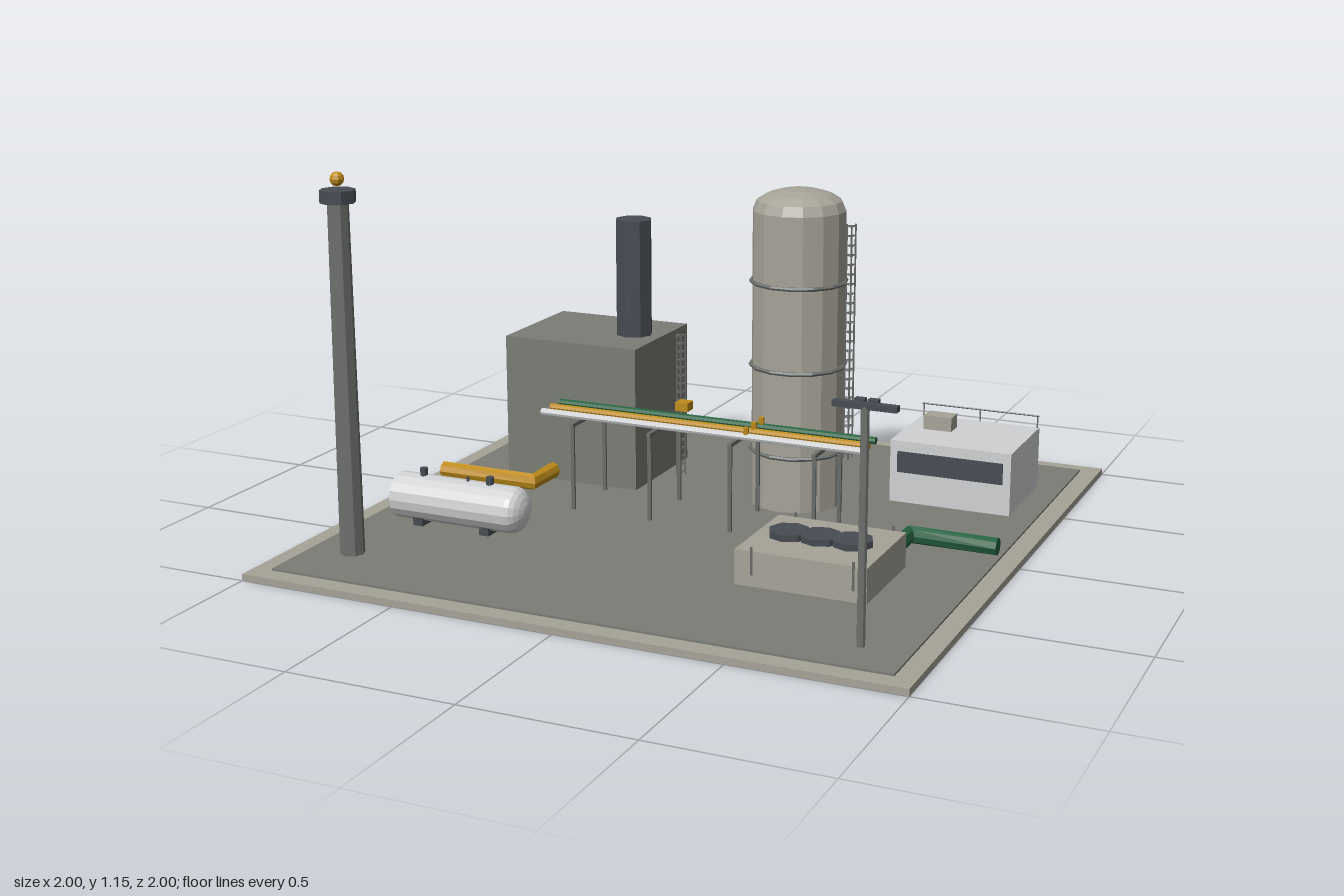
import * as THREE from 'three';

const mat = (name, color, side = THREE.FrontSide) => {
  const m = new THREE.MeshStandardMaterial({ color, flatShading: true, side });
  m.name = name;
  return m;
};

export function createModel() {
  const concrete = mat('concrete', 0xa6a398);
  const paving = mat('paving grey', 0x7a7c75);
  const dark = mat('dark steel', 0x474c53);
  const steel = mat('steel', 0x6e716d);
  const white = mat('white', 0xd0d1d2);
  const gold = mat('safety yellow', 0xbf8c1a);
  const green = mat('pipe green', 0x24613f);

  const root = new THREE.Group();
  root.name = 'processPlant';
  let target = root;
  const group = (name, build) => {
    target = new THREE.Group();
    target.name = name;
    root.add(target);
    build();
    target = root;
  };
  const add = (name, geo, material, x = 0, y = 0, z = 0) => {
    const m = new THREE.Mesh(geo, material);
    m.name = name;
    m.position.set(x, y, z);
    target.add(m);
    return m;
  };
  // Box given by its minimum and maximum on each axis
  const box = (name, material, x0, x1, y0, y1, z0, z1) =>
    add(name, new THREE.BoxGeometry(x1 - x0, y1 - y0, z1 - z0), material,
      (x0 + x1) / 2, (y0 + y1) / 2, (z0 + z1) / 2);
  // Upright cylinder between two heights
  const post = (name, material, x, z, r, y0, y1, sides = 8, rTop = r) =>
    add(name, new THREE.CylinderGeometry(rTop, r, y1 - y0, sides), material, x, (y0 + y1) / 2, z);
  // Straight rod between two points
  const rod = (name, material, a, b, r, sides = 6) => {
    const p = new THREE.Vector3(...a), q = new THREE.Vector3(...b);
    const m = add(name, new THREE.CylinderGeometry(r, r, p.distanceTo(q), sides), material);
    m.position.copy(p).add(q).multiplyScalar(0.5);
    m.quaternion.setFromUnitVectors(new THREE.Vector3(0, 1, 0), q.sub(p).normalize());
    return m;
  };

  // Bent ground pipe: three rings, the middle one in the mitre plane
  class Bend extends THREE.Curve {
    constructor(points) {
      super();
      this.points = points.map((p) => new THREE.Vector3(...p));
    }
    getPointAt(u) {
      return this.points[Math.round(u * 2)].clone();
    }
    getTangentAt(u) {
      const [a, b, c] = this.points;
      const first = b.clone().sub(a).normalize(), last = c.clone().sub(b).normalize();
      return u < 0.25 ? first : u > 0.75 ? last : first.add(last).normalize();
    }
  }
  const bentPipe = (name, material, points) => {
    add(name, new THREE.TubeGeometry(new Bend(points), 2, 0.027, 8), material);
    const end = points[0];
    const cap = add(name + 'End', new THREE.CircleGeometry(0.027, 8), material, ...end);
    cap.rotation.y = Math.sign(end[0]) * Math.PI / 2;
  };

  // Triangular ladder with rungs and stand-offs
  const ladder = (x, z, y0, y1, step) => {
    const rails = [[x, z], [x + 0.022, z - 0.018], [x + 0.022, z + 0.018]];
    rails.forEach(([rx, rz]) => post('ladderRail', steel, rx, rz, 0.003, y0, y1, 4));
    for (let y = y0 + 0.015; y < y1; y += step)
      rails.forEach(([rx, rz], i) => {
        const [nx, nz] = rails[(i + 1) % 3];
        rod('ladderRung', steel, [rx, y, rz], [nx, y, nz], 0.002, 4);
      });
  };

  group('ground', () => {
    box('slab', concrete, -1, 1, 0, 0.02, -1, 1);
    box('paving', paving, -0.94, 0.94, 0.018, 0.026, -0.94, 0.94);
  });

  group('furnace', () => {
    box('furnaceBlock', paving, -0.77, -0.305, 0.025, 0.49, -0.535, -0.14);
    post('stack', dark, -0.403, -0.338, 0.06, 0.49, 0.87);
    ladder(-0.255, -0.345, 0.025, 0.5, 0.027);
  });

  group('tower', () => {
    const profile = [[0, 0.025], [0.145, 0.025], [0.145, 0.955], [0.132, 0.985], [0.1, 1.005], [0.055, 1.018], [0, 1.022]];
    add('vessel', new THREE.LatheGeometry(profile.map(([r, y]) => new THREE.Vector2(r, y)), 14),
      concrete, 0.197, 0, -0.268);
    for (const y of [0.2, 0.47, 0.735]) {
      const ring = add('hoop', new THREE.TorusGeometry(0.147, 0.007, 6, 14), steel, 0.197, y, -0.268);
      ring.rotation.x = Math.PI / 2;
    }
    ladder(0.35, -0.274, 0.18, 0.92, 0.03);
  });

  group('flare', () => {
    post('flarePole', steel, -0.804, 0.73, 0.037, 0.025, 1.07, 8, 0.031);
    post('flareCollar', dark, -0.804, 0.73, 0.052, 1.065, 1.102);
    add('flareTip', new THREE.SphereGeometry(0.021, 8, 6), gold, -0.804, 1.132, 0.73);
  });

  // Lying storage tank with one domed end
  group('storageTank', () => {
    const pts = [new THREE.Vector2(0, 0), new THREE.Vector2(0.07, 0)];
    for (let i = 0; i <= 5; i++) {
      const a = i / 5 * Math.PI / 2;
      pts.push(new THREE.Vector2(0.07 * Math.cos(a), 0.39 + 0.045 * Math.sin(a)));
    }
    const shell = add('tankShell', new THREE.LatheGeometry(pts, 16), white, -0.8, 0.13, 0.465);
    shell.rotation.z = -Math.PI / 2;
    for (const x of [-0.717, -0.49]) {
      post('nozzle', dark, x, 0.465, 0.012, 0.19, 0.222);
      box('saddle', dark, x - 0.016, x + 0.016, 0.052, 0.078, 0.42, 0.51);
    }
    post('vent', dark, -0.565, 0.465, 0.005, 0.19, 0.212);
  });

  group('groundPipes', () => {
    bentPipe('inletPipe', gold, [[-0.935, 0.056, -0.003], [-0.605, 0.056, -0.003], [-0.605, 0.056, -0.2]]);
    bentPipe('outletPipe', green, [[0.932, 0.058, -0.003], [0.663, 0.058, -0.003], [0.663, 0.058, 0.46]]);
  });

  group('pipeRack', () => {
    for (const x of [-0.4, -0.137, 0.13, 0.4]) {
      for (const z of [-0.108, 0.108]) post('rackLeg', steel, x, z, 0.007, 0.025, 0.3, 6);
      box('rackBeam', steel, x - 0.006, x + 0.006, 0.292, 0.304, -0.115, 0.115);
    }
    [[-0.065, green], [-0.005, gold], [0.055, white]].forEach(([z, m]) => {
      rod('rackPipe', m, [-0.535, 0.313, z], [0.53, 0.313, z], 0.0115, 8);
      post('valve', gold, 0.16, z, 0.009, 0.32, 0.343, 6);
    });
    box('junctionBox', gold, -0.147, -0.104, 0.32, 0.347, -0.142, -0.098);
  });

  group('controlBuilding', () => {
    box('walls', white, 0.47, 0.86, 0.025, 0.225, -0.7, -0.375);
    box('window', dark, 0.495, 0.835, 0.125, 0.192, -0.376, -0.369);
    box('roofUnit', concrete, 0.525, 0.617, 0.225, 0.27, -0.597, -0.535);
    for (const x of [0.475, 0.665, 0.855]) post('railPost', steel, x, -0.693, 0.0025, 0.22, 0.266, 5);
    rod('railing', steel, [0.47, 0.265, -0.693], [0.86, 0.265, -0.693], 0.003, 5);
  });

  group('coolingUnit', () => {
    box('coolerBody', concrete, 0.34, 0.73, 0.045, 0.148, 0.235, 0.562);
    for (const x of [0.437, 0.532, 0.627]) post('fan', dark, x, 0.395, 0.06, 0.145, 0.167);
    for (const x of [0.393, 0.692])
      for (const z of [0.235, 0.565]) post('bracket', steel, x, z, 0.004, 0.08, 0.162, 5);
  });

  group('lightMast', () => {
    post('mastPole', steel, 0.8, 0.8, 0.012, 0.025, 0.67);
    box('crossbar', dark, 0.713, 0.887, 0.664, 0.68, 0.786, 0.81);
    for (const x of [0.782, 0.818]) box('lamp', dark, x - 0.014, x + 0.014, 0.672, 0.688, 0.776, 0.796);
  });

  return root;
}
